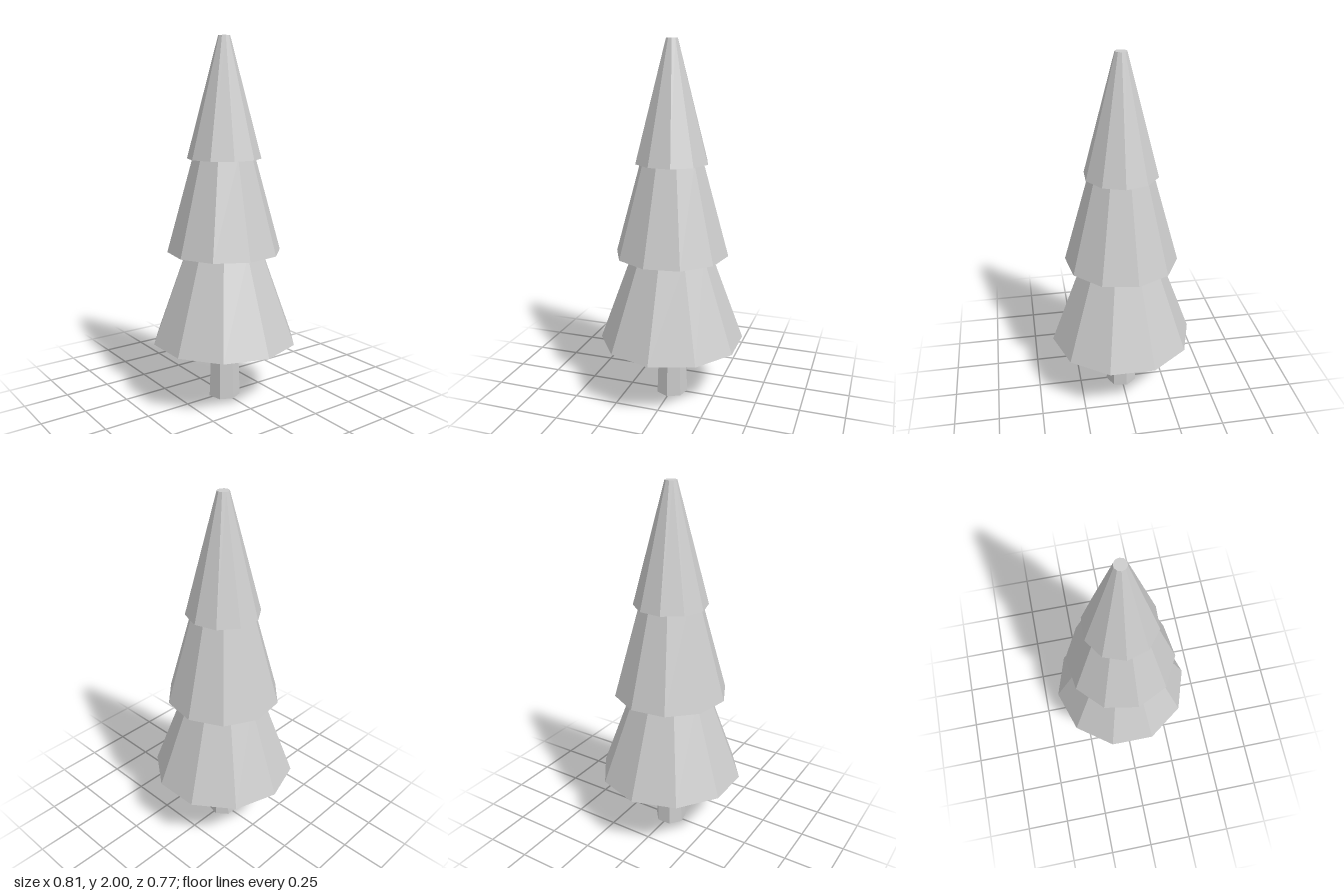
import * as THREE from 'three';

export function createModel() {
  const tree = new THREE.Group();
  tree.name = 'pineTree';
  const grey = new THREE.MeshStandardMaterial({ color: 0xcccccc, flatShading: true });
  grey.name = 'plainGrey';

  // Closed, faceted tapered section; turn is the angle of its first corner
  function section(name, sides, rBottom, rTop, y0, y1, turnDegrees) {
    const geometry = new THREE.CylinderGeometry(
      rTop, rBottom, y1 - y0, sides, 1, false, THREE.MathUtils.degToRad(turnDegrees));
    geometry.translate(0, (y0 + y1) / 2, 0);
    const mesh = new THREE.Mesh(geometry, grey);
    mesh.name = name;
    tree.add(mesh);
  }

  // Seven-sided trunk
  section('trunk', 7, 0.09, 0.077, 0, 0.36, 90);

  // Three stacked tiers of foliage, each turned a little
  section('lowerFoliage', 10, 0.405, 0.216, 0.34, 0.855, 18);
  section('middleFoliage', 10, 0.315, 0.171, 0.845, 1.365, 8);
  section('upperFoliage', 10, 0.202, 0.032, 1.355, 2, -2);

  return tree;
}
